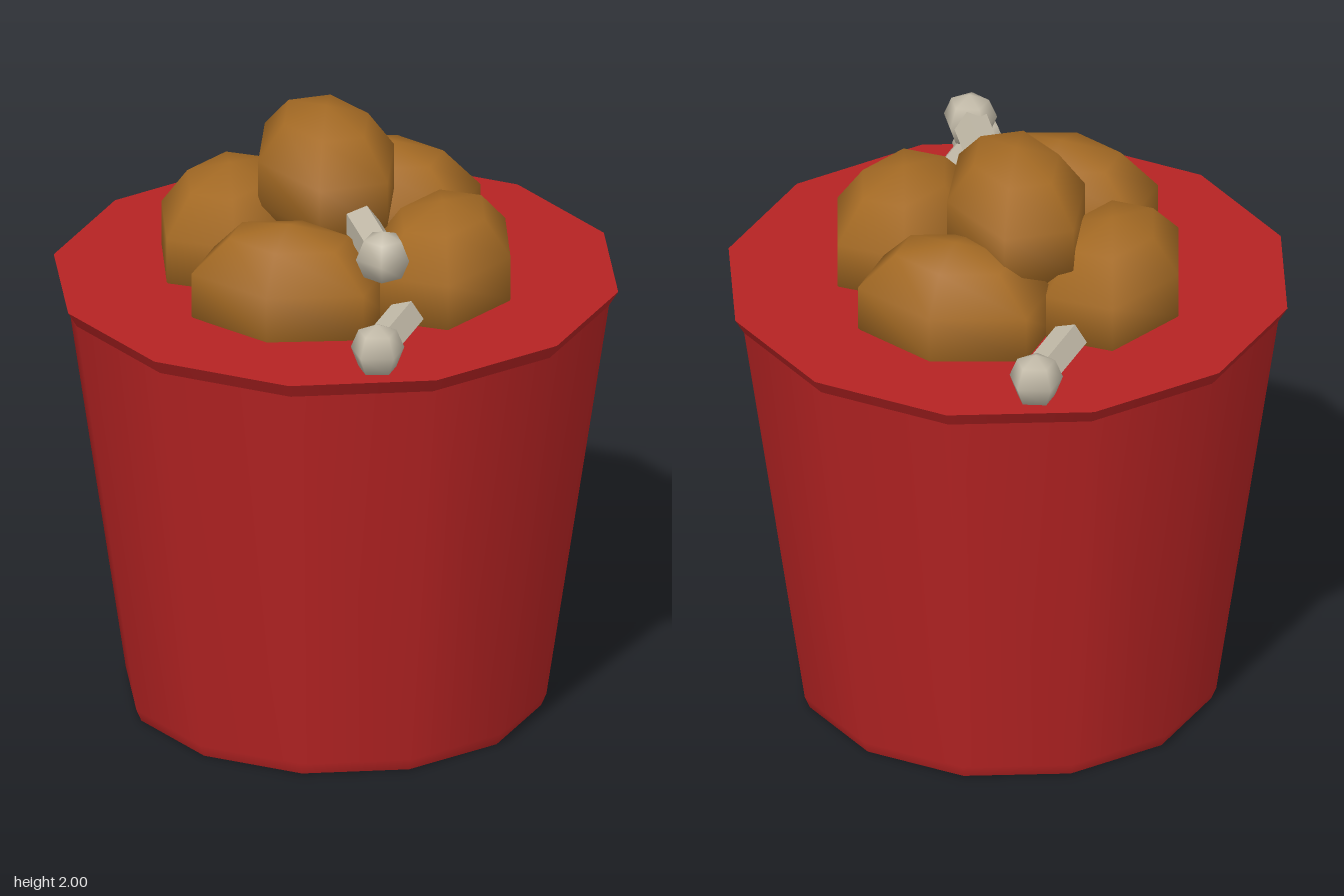
import * as THREE from 'three';

const material = (name, color) => {
  const m = new THREE.MeshStandardMaterial({ color });
  m.name = name;
  return m;
};

export function createModel() {
  const model = new THREE.Group();
  model.name = 'foodBucket';
  const red = material('bucketRed', 0xb62323);
  const brown = material('crispyBrown', 0xa46a24);
  const cream = material('boneCream', 0xc2baa8);

  const add = (parent, name, geometry, mat) => {
    const mesh = new THREE.Mesh(geometry, mat);
    mesh.name = name;
    parent.add(mesh);
    return mesh;
  };

  // Bucket: tapered twelve-sided wall, flared rim, flat lid and base
  const SIDES = 12, TOP = 1.46;
  const lathe = (points) =>
    new THREE.LatheGeometry(points.map(([r, y]) => new THREE.Vector2(r, y)), SIDES);
  add(model, 'bucketWall', lathe([[0.665, 0], [0.682, 0.04], [0.885, 1.41]]), red);
  add(model, 'bucketRim', lathe([[0.885, 1.41], [0.915, TOP]]), red);
  add(model, 'bucketTop', new THREE.CircleGeometry(0.915, SIDES).rotateX(-Math.PI / 2).translate(0, TOP, 0), red);
  add(model, 'bucketBase', new THREE.CircleGeometry(0.665, SIDES).rotateX(Math.PI / 2), red);

  // Chicken pieces: one long rounded lump, four in a ring and one on top
  const lump = new THREE.SphereGeometry(1, 6, 5, Math.PI / 6).scale(0.351, 0.24, 0.24);
  const tilt = THREE.MathUtils.degToRad(21);
  for (let i = 0; i < 4; i++) {
    const turn = (i * Math.PI) / 2;
    const piece = add(model, 'chickenPiece' + (i + 1), lump, brown);
    piece.position.set(0.1, 1.54, 0.36).applyAxisAngle(new THREE.Vector3(0, 1, 0), turn);
    piece.rotation.y = tilt + turn;
  }
  const topPiece = add(model, 'topChickenPiece', lump, brown);
  topPiece.position.set(-0.09, 1.76, -0.06);
  topPiece.rotation.y = THREE.MathUtils.degToRad(-33);

  // Bones: five-sided stick ending in a round knob
  const addBone = (name, y, [x0, z0], [x1, z1]) => {
    const dx = x1 - x0, dz = z1 - z0, length = Math.hypot(dx, dz);
    const bone = new THREE.Group();
    bone.name = name;
    bone.position.set(x0, y, z0);
    bone.rotation.y = Math.atan2(dx, dz);
    const stick = new THREE.CylinderGeometry(0.06, 0.06, length, 5, 1, false, Math.PI / 2)
      .rotateX(Math.PI / 2).translate(0, 0, length / 2).toNonIndexed();
    stick.computeVertexNormals();
    add(bone, 'boneStick', stick, cream);
    add(bone, 'boneKnob', new THREE.SphereGeometry(0.09, 5, 4).translate(0, 0, length), cream);
    model.add(bone);
  };
  addBone('upperBone', 1.745, [0.22, 0.14], [0.45, 0.31]);
  addBone('frontBone', 1.53, [0.495, 0.25], [0.595, 0.515]);
  addBone('backBone', 1.53, [-0.495, -0.25], [-0.595, -0.52]);

  return model;
}
